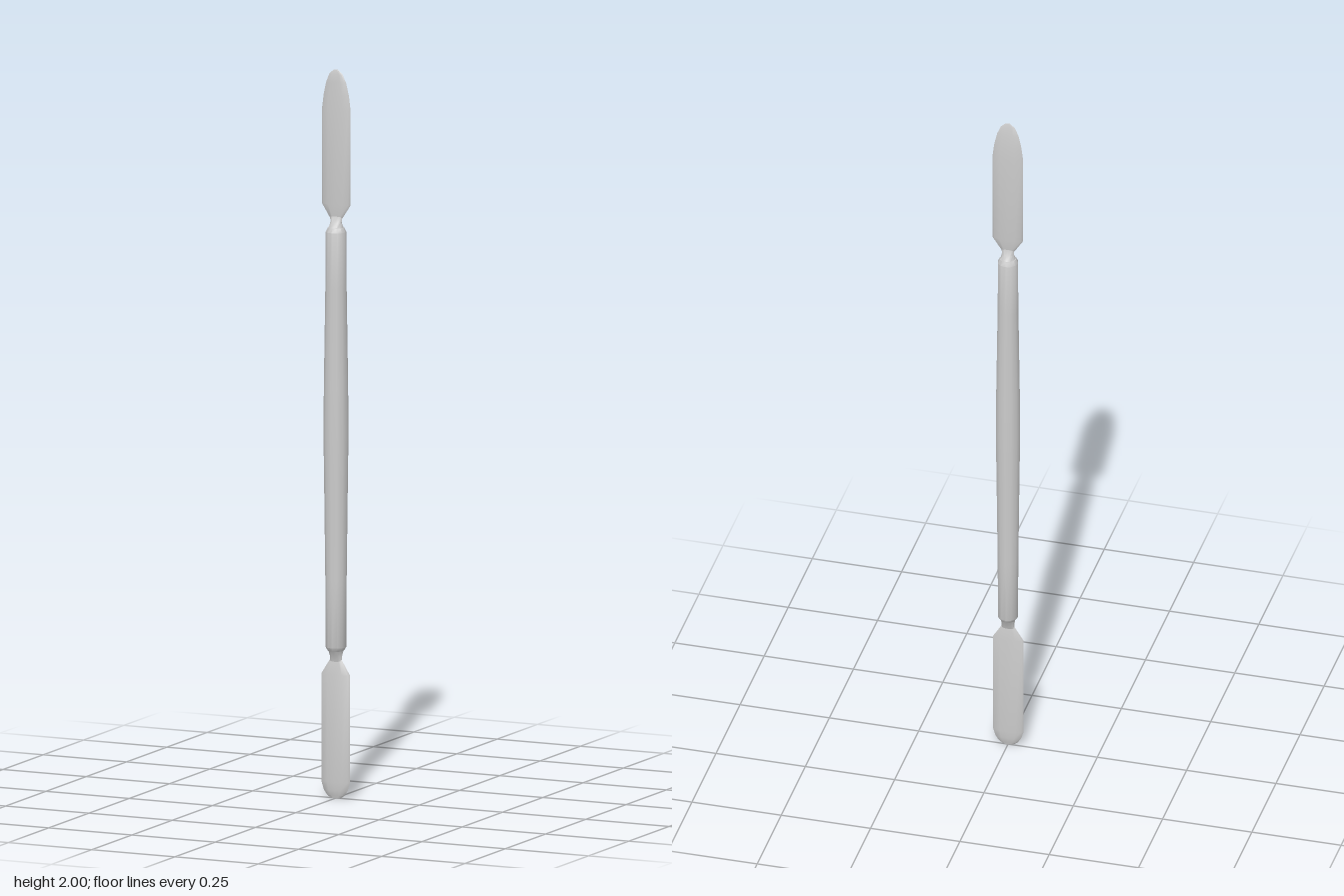
import * as THREE from 'three';
import { toCreasedNormals } from 'three/addons/utils/BufferGeometryUtils.js';

const SIDES = 12;

// Skins elliptical rings [y, half width, half depth, z offset], listed bottom to top, with closed ends
function loft(rings) {
  const pos = [], index = [];
  for (const [y, rx, rz, z = 0] of rings) {
    for (let i = 0; i < SIDES; i++) {
      const a = (i / SIDES) * Math.PI * 2;
      pos.push(Math.cos(a) * rx, y, z + Math.sin(a) * rz);
    }
  }
  for (let r = 0; r < rings.length - 1; r++) {
    for (let i = 0; i < SIDES; i++) {
      const j = (i + 1) % SIDES;
      const a = r * SIDES + i, b = r * SIDES + j;
      index.push(a, a + SIDES, b, b, a + SIDES, b + SIDES);
    }
  }
  // End caps as fans
  const top = (rings.length - 1) * SIDES;
  for (let i = 1; i < SIDES - 1; i++) {
    index.push(0, i, i + 1, top, top + i + 1, top + i);
  }
  const geo = new THREE.BufferGeometry();
  geo.setAttribute('position', new THREE.Float32BufferAttribute(pos, 3));
  geo.setIndex(index);
  return toCreasedNormals(geo, Math.PI / 5);
}

export function createModel() {
  const group = new THREE.Group();
  const metal = new THREE.MeshStandardMaterial({ color: 0xcccccc });
  const add = (name, rings) => {
    const mesh = new THREE.Mesh(loft(rings), metal);
    mesh.name = name;
    group.add(mesh);
  };

  // Grip, slightly swollen in the middle, with bevelled ends
  add('handle', [
    [0.405, 0.022, 0.022], [0.415, 0.028, 0.028], [0.6, 0.029, 0.029],
    [0.85, 0.032, 0.032], [1, 0.034, 0.034], [1.13, 0.033, 0.033],
    [1.4, 0.029, 0.029], [1.555, 0.028, 0.028], [1.567, 0.022, 0.022],
  ]);

  // Necks flatten from the round grip to the thin blades
  add('lowerNeck', [
    [0.375, 0.018, 0.006, 0.001], [0.39, 0.018, 0.011], [0.407, 0.021, 0.021],
  ]);
  add('upperNeck', [
    [1.565, 0.021, 0.021], [1.58, 0.017, 0.011], [1.597, 0.018, 0.005, -0.001],
  ]);

  // Short blade with a blunt end
  add('lowerBlade', [
    [0, 0.014, 0.004, 0.002], [0.008, 0.026, 0.006, 0.002], [0.022, 0.036, 0.008, 0.002],
    [0.045, 0.043, 0.01, 0.002], [0.34, 0.043, 0.01, 0.002], [0.38, 0.018, 0.005, 0.001],
  ]);

  // Long blade with a rounded, tapering tip
  add('upperBlade', [
    [1.59, 0.017, 0.004, -0.001], [1.63, 0.043, 0.009, -0.002], [1.89, 0.043, 0.009, -0.002],
    [1.93, 0.038, 0.008, -0.002], [1.965, 0.03, 0.006, -0.001], [1.988, 0.02, 0.004],
    [2, 0.007, 0.002],
  ]);

  return group;
}
